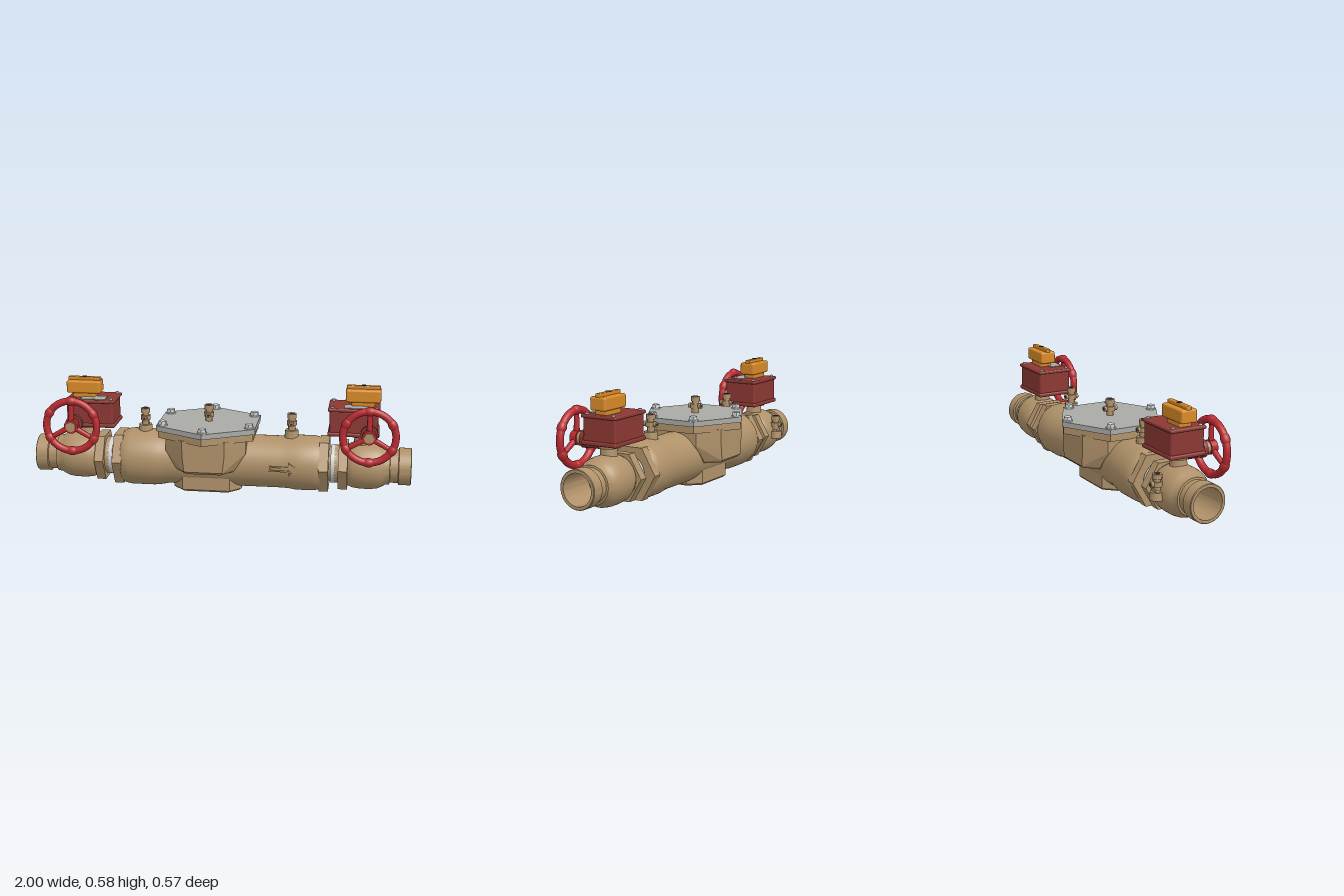
import * as THREE from 'three';
import { toCreasedNormals } from 'three/addons/utils/BufferGeometryUtils.js';
import { RoundedBoxGeometry } from 'three/addons/geometries/RoundedBoxGeometry.js';
import { ConvexGeometry } from 'three/addons/geometries/ConvexGeometry.js';

const mat = (name, color) => new THREE.MeshStandardMaterial({ name, color });
const bronze = mat('bronze', 0xb0926a);
const wheelRed = mat('wheelRed', 0xb82a30);
const boxRed = mat('boxRed', 0x8c3833);
const orange = mat('orange', 0xd98a28);
const steel = mat('steel', 0xa9aaa6);
const pale = mat('pale', 0xd2d4d4);
const dark = mat('dark', 0x2c2c2c);

const AXIS = 0.155; // height of the pipe centreline
const MID = -0.07;  // x of the cover centre

function add(parent, name, geometry, material, x = 0, y = 0, z = 0) {
  const mesh = new THREE.Mesh(geometry, material);
  mesh.name = name;
  mesh.position.set(x, y, z);
  parent.add(mesh);
  return mesh;
}
function group(parent, name, x = 0, y = 0, z = 0) {
  const g = new THREE.Group();
  g.name = name;
  g.position.set(x, y, z);
  parent.add(g);
  return g;
}
const cyl = (r0, r1, h, n = 32) => toCreasedNormals(new THREE.CylinderGeometry(r0, r1, h, n), 0.6);
const cylX = (r, h, n = 48) => cyl(r, r, h, n).rotateZ(Math.PI / 2);
const cylZ = (r0, r1, h, n = 32) => cyl(r0, r1, h, n).rotateX(Math.PI / 2);

// Profile of [radius, distance along x], turned about the pipe axis
function turned(points, side = 1) {
  const lathe = new THREE.LatheGeometry(points.map(([r, d]) => new THREE.Vector2(r, d)), 64);
  return toCreasedNormals(lathe, 0.6).rotateZ(-side * Math.PI / 2);
}

// Upright plate with a six-cornered outline
function hexPlate(ax, az, zSide, depth) {
  const pts = [[0, az], [-ax, zSide], [-ax, -zSide], [0, -az], [ax, -zSide], [ax, zSide]];
  const shape = new THREE.Shape(pts.map(([x, z]) => new THREE.Vector2(x, z)));
  return new THREE.ExtrudeGeometry(shape, { depth, bevelEnabled: false }).rotateX(-Math.PI / 2);
}

// Eight-cornered block; each ring is [y, half x, front half x, half z, side half z]
function block(rings) {
  const pts = [];
  for (const [y, hx, fx, hz, sz] of rings)
    for (const sx of [-1, 1]) for (const s of [-1, 1])
      pts.push(new THREE.Vector3(sx * hx, y, s * sz), new THREE.Vector3(sx * fx, y, s * hz));
  return toCreasedNormals(new ConvexGeometry(pts), 0.3);
}

function testCock(parent, x, y, z) {
  const g = group(parent, 'testCock', x, y, z);
  add(g, 'cockBase', cyl(0.034, 0.038, 0.04), bronze, 0, -0.005);
  add(g, 'cockNeck', cyl(0.019, 0.019, 0.04), bronze, 0, 0.03);
  add(g, 'cockBody', cyl(0.026, 0.026, 0.025, 24), bronze, 0, 0.052);
  add(g, 'cockStem', cylZ(0.014, 0.014, 0.075, 20), bronze, 0, 0.052);
  add(g, 'cockStemSlot', cylZ(0.007, 0.007, 0.078, 12), dark, 0, 0.052);
  add(g, 'cockThroat', cyl(0.018, 0.018, 0.02), bronze, 0, 0.072);
  add(g, 'cockOutlet', cyl(0.024, 0.024, 0.025), bronze, 0, 0.09);
  add(g, 'cockOpening', cyl(0.014, 0.014, 0.004, 20), dark, 0, 0.102);
}

function handwheel(parent, x) {
  const g = group(parent, 'handwheel', x, 0.352, 0.16);
  const R = 0.135;
  add(g, 'wheelRim', new THREE.TorusGeometry(R, 0.019, 16, 64), wheelRed);
  for (let i = 0; i < 6; i++) {
    const a = Math.PI / 6 + i * Math.PI / 3;
    const grip = add(g, 'wheelGrip', new THREE.SphereGeometry(0.024, 20, 14), wheelRed, R * Math.cos(a), R * Math.sin(a));
    grip.scale.set(1, 1.45, 1);
    grip.rotation.z = a;
  }
  for (let i = 0; i < 3; i++) {
    const a = Math.PI / 2 + i * Math.PI * 2 / 3;
    const spoke = add(g, 'wheelSpoke', cyl(0.012, 0.016, R, 16), wheelRed, R / 2 * Math.cos(a), R / 2 * Math.sin(a));
    spoke.rotation.z = a - Math.PI / 2;
  }
  add(g, 'wheelHub', cylZ(0.037, 0.037, 0.036), wheelRed);
  add(g, 'wheelNut', cylZ(0.026, 0.028, 0.05), bronze);
  add(g, 'wheelShaft', cylZ(0.03, 0.028, 0.06), bronze, 0, 0, -0.035);
  add(g, 'shaftFlange', cylZ(0.045, 0.045, 0.022), boxRed, 0, 0, -0.055);
  add(g, 'shaftHousing', cylZ(0.042, 0.042, 0.09), boxRed, 0, 0, -0.1);
}

function actuator(parent, side) {
  const g = group(parent, 'actuator', side * 0.695, 0, 0);
  const sx = side * 0.045; // stem stands outward of the box centre
  add(g, 'stemNeck', cyl(0.04, 0.045, 0.07), bronze, sx, 0.285);
  add(g, 'stemCollar', cyl(0.065, 0.06, 0.016), bronze, sx, 0.322);
  add(g, 'gearbox', new RoundedBoxGeometry(0.25, 0.135, 0.188, 3, 0.012), boxRed, 0, 0.4);
  add(g, 'gearboxBase', new RoundedBoxGeometry(0.266, 0.022, 0.2, 3, 0.008), boxRed, 0, 0.341);
  add(g, 'gearboxLid', new RoundedBoxGeometry(0.266, 0.018, 0.2, 3, 0.007), boxRed, 0, 0.47);
  add(g, 'label', new THREE.BoxGeometry(0.13, 0.004, 0.075), steel, 0.015, 0.48, 0.047);
  for (const x of [-0.112, 0.112]) for (const z of [-0.077, 0.077])
    add(g, 'lidScrew', cyl(0.009, 0.009, 0.01, 16), pale, x, 0.482, z);
  // Position indicator
  add(g, 'indicatorNeck', new RoundedBoxGeometry(0.12, 0.04, 0.07, 3, 0.008), orange, sx, 0.49);
  add(g, 'indicator', new RoundedBoxGeometry(0.182, 0.067, 0.088, 3, 0.01), orange, sx, 0.534);
  add(g, 'indicatorRidge', new RoundedBoxGeometry(0.175, 0.03, 0.028, 2, 0.005), orange, sx, 0.569);
  add(g, 'indicatorScrew', cyl(0.013, 0.013, 0.006, 20), dark, sx, 0.583);
}

function shutoffValve(parent, side) {
  const g = group(parent, 'shutoffValve');
  const profile = [
    [0.1, 0.6], [0.1, 0.665], [0.112, 0.675], [0.122, 0.7], [0.126, 0.74], [0.126, 0.79], [0.121, 0.825],
    [0.11, 0.85], [0.099, 0.868], [0.098, 0.888], [0.088, 0.89], [0.088, 0.932], [0.098, 0.935],
    [0.098, 0.997], [0.095, 1], [0.08, 1], [0.078, 0.8], [0, 0.8],
  ];
  add(g, 'valveBody', turned(profile, side), bronze, 0, AXIS);
  add(g, 'outerHexFlange', cylX(0.137, 0.048, 6), bronze, side * 0.646, AXIS);
  add(g, 'innerHexFlange', cylX(0.153, 0.05, 6), bronze, side * 0.546, AXIS);
  add(g, 'couplingRing', cylX(0.092, 0.08), bronze, side * 0.595, AXIS);
  add(g, 'gasket', cylX(0.1, 0.028), pale, side * 0.595, AXIS);
  actuator(g, side);
  handwheel(g, side * 0.778);
}

export function createModel() {
  const model = new THREE.Group();
  model.name = 'checkValveAssembly';

  // Main pipe, slightly fuller toward the inlet
  add(model, 'mainBody', turned([
    [0, -0.53], [0.135, -0.53], [0.146, -0.515], [0.152, -0.48], [0.152, -0.36], [0.147, -0.32], [0.139, -0.28],
    [0.138, 0.3], [0.14, 0.36], [0.146, 0.4], [0.146, 0.49], [0.141, 0.515], [0.132, 0.53], [0, 0.53],
  ]), bronze, 0, AXIS);

  // Central chamber, foot and bolted cover
  add(model, 'chamber', block([
    [0.13, 0.145, 0.09, 0.208, 0.14], [0.144, 0.158, 0.1, 0.222, 0.145],
    [0.23, 0.212, 0.11, 0.222, 0.13], [0.31, 0.212, 0.11, 0.222, 0.13],
  ]), bronze, MID);
  add(model, 'foot', block([
    [0.004, 0.172, 0.115, 0.11, 0.05], [0.014, 0.182, 0.125, 0.118, 0.055], [0.12, 0.182, 0.125, 0.118, 0.055],
  ]), bronze, MID);
  add(model, 'chamberFlange', hexPlate(0.25, 0.275, 0.137, 0.038), bronze, MID, 0.3);
  add(model, 'cover', hexPlate(0.26, 0.283, 0.143, 0.028), steel, MID, 0.338);
  for (const [x, z] of [[0, 0.25], [0, -0.25], [0.228, 0.124], [0.228, -0.124], [-0.228, 0.124], [-0.228, -0.124]]) {
    add(model, 'coverWasher', cyl(0.026, 0.026, 0.006, 24), pale, MID + x, 0.369, z);
    add(model, 'coverBolt', cyl(0.022, 0.023, 0.02, 6), pale, MID + x, 0.379, z);
  }

  // Raised flow arrow
  const arrow = new THREE.Shape([[-0.08, -0.014], [0.02, -0.014], [0.02, -0.036], [0.08, 0], [0.02, 0.036],
    [0.02, 0.014], [-0.08, 0.014]].map(([x, y]) => new THREE.Vector2(x, y)));
  arrow.holes.push(new THREE.Path([[-0.072, -0.007], [-0.072, 0.007], [0.027, 0.007], [0.027, 0.025],
    [0.067, 0], [0.027, -0.025], [0.027, -0.007]].map(([x, y]) => new THREE.Vector2(x, y))));
  add(model, 'flowArrow', new THREE.ExtrudeGeometry(arrow, { depth: 0.009, bevelEnabled: false }), bronze, 0.345, AXIS, 0.137);

  // Test cocks on the pipe, on the cover and behind the inlet valve
  testCock(model, -0.413, 0.32, 0);
  testCock(model, 0.37, 0.318, 0);
  testCock(model, MID, 0.35, 0);
  testCock(model, -0.762, 0.155, -0.132);
  add(model, 'cockBoss', cylZ(0.026, 0.03, 0.05), bronze, -0.762, AXIS, -0.125);

  for (const side of [-1, 1]) shutoffValve(model, side);
  return model;
}
